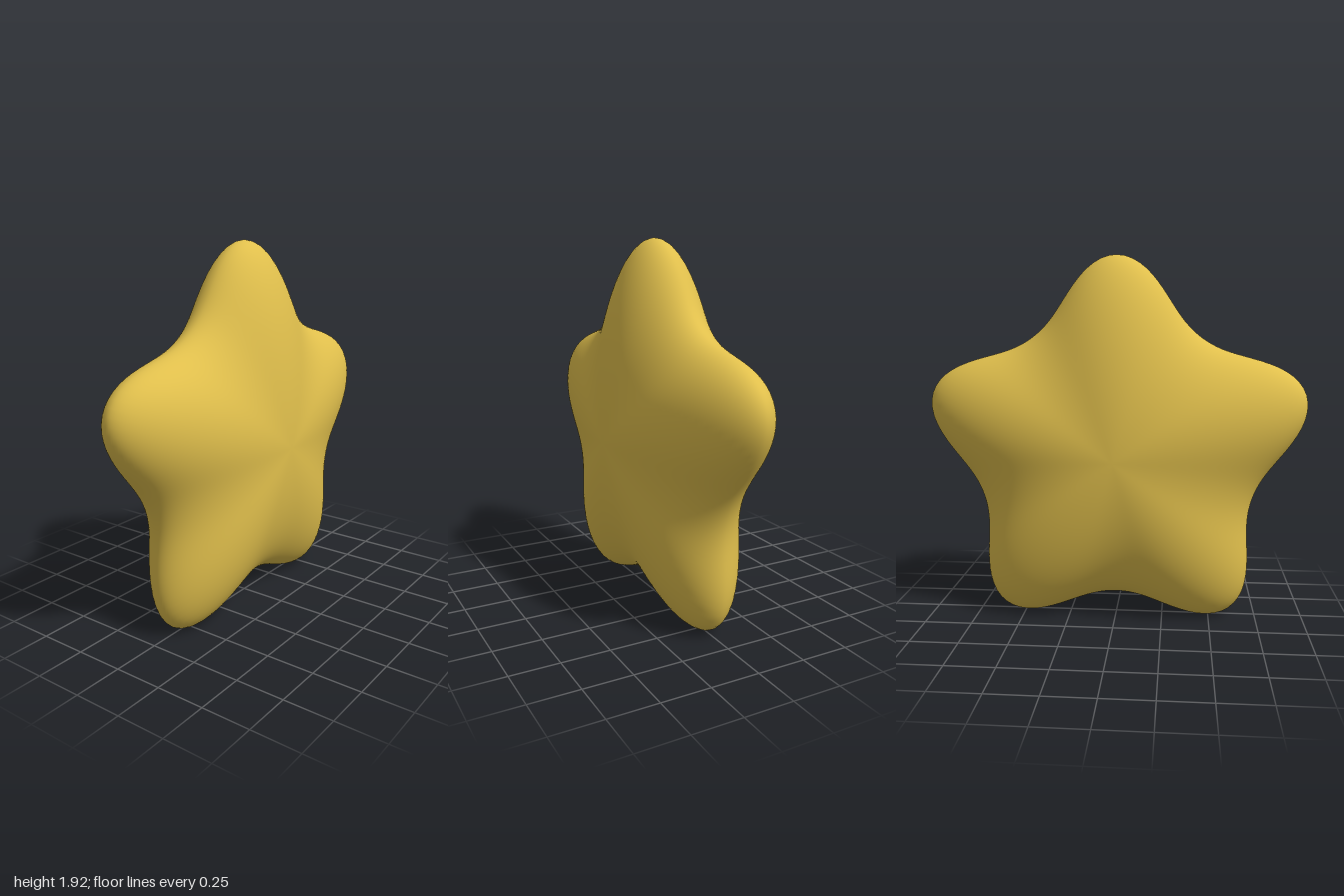
import * as THREE from 'three';
import { mergeVertices } from 'three/addons/utils/BufferGeometryUtils.js';

const CENTER_Y = 0.88;
const HALF_DEPTH = 0.302;

// Outline radius of the five-armed star; a is measured from the top arm
function starRadius(a) {
  return 0.885 + 0.14 * Math.cos(5 * a) + 0.015 * Math.cos(10 * a);
}

export function createModel() {
  const group = new THREE.Group();
  group.name = 'star';

  // Sphere with its poles turned to front and back, each ring stretched to the star outline
  let geometry = new THREE.SphereGeometry(1, 160, 80);
  geometry.rotateX(Math.PI / 2);
  geometry.deleteAttribute('uv');
  geometry.deleteAttribute('normal');
  const pos = geometry.attributes.position;
  for (let i = 0; i < pos.count; i++) {
    const x = pos.getX(i), y = pos.getY(i), z = pos.getZ(i);
    const r = starRadius(Math.atan2(x, y));
    // Slightly pinched rim where front and back meet
    const depth = Math.sign(z) * HALF_DEPTH * Math.pow(Math.abs(z), 1.06);
    pos.setXYZ(i, x * r, CENTER_Y + y * r, depth);
  }

  // Weld the seam so the shading is smooth all round
  geometry = mergeVertices(geometry, 1e-5);
  geometry.computeVertexNormals();

  const body = new THREE.Mesh(
    geometry,
    new THREE.MeshStandardMaterial({ color: 0xe0bf4c })
  );
  body.name = 'starBody';
  group.add(body);
  return group;
}
